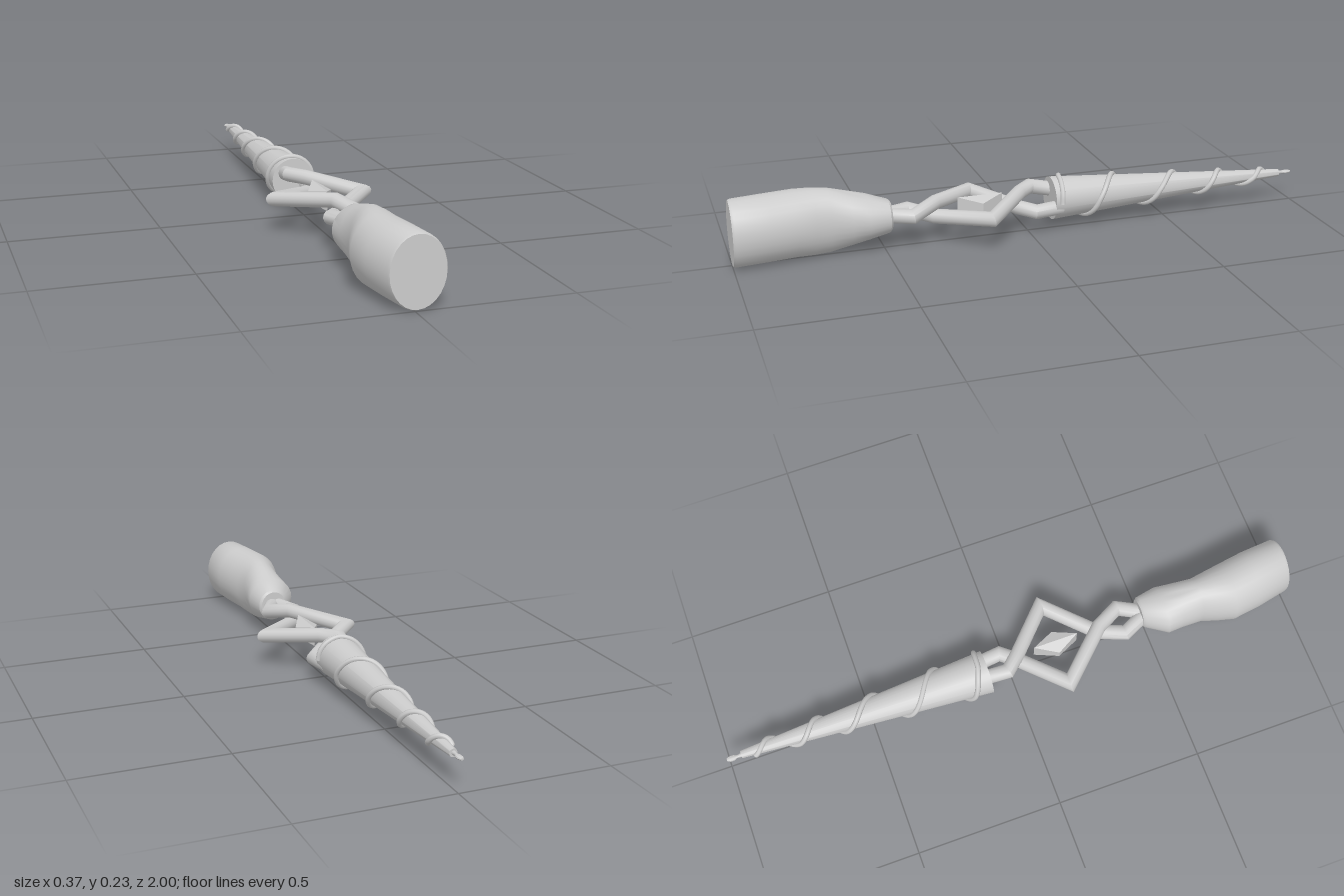
import * as THREE from 'three';
import { toCreasedNormals } from 'three/addons/utils/BufferGeometryUtils.js';
import { ConvexGeometry } from 'three/addons/geometries/ConvexGeometry.js';

const V = (x, y, z) => new THREE.Vector3(x, y, z);
const material = new THREE.MeshStandardMaterial({ color: 0xcccccc });
const CY = 0.114; // height of the long axis

// Closed skin over rings of points, counterclockwise about the direction of travel
function skin(rings, crease = 0.6) {
  const n = rings[0].length, last = rings.length - 1;
  const points = rings.flat();
  const index = [];
  for (let i = 0; i < last; i++) {
    for (let j = 0; j < n; j++) {
      const a = i * n + j, b = i * n + (j + 1) % n;
      index.push(a, b, b + n, a, b + n, a + n);
    }
  }
  // End caps
  for (const i of [0, last]) {
    const centre = rings[i].reduce((s, p) => s.add(p), V(0, 0, 0)).divideScalar(n);
    const c = points.push(centre) - 1;
    for (let j = 0; j < n; j++) {
      const a = i * n + j, b = i * n + (j + 1) % n;
      index.push(c, ...(i === 0 ? [b, a] : [a, b]));
    }
  }
  const geometry = new THREE.BufferGeometry().setFromPoints(points);
  geometry.setIndex(index);
  return toCreasedNormals(geometry, crease);
}

// Ellipses stacked along z: [z, centre x, centre y, radius x, radius y]
function loft(sections, sides) {
  return skin(sections.map(([z, cx, cy, rx, ry]) =>
    Array.from({ length: sides }, (_, j) => {
      const a = j / sides * Math.PI * 2;
      return V(cx + rx * Math.cos(a), cy + ry * Math.sin(a), z);
    })));
}

// Round bar along straight segments, mitred at each corner
function mitredBar(path, radius, sides) {
  const dirs = path.slice(1).map((p, i) => p.clone().sub(path[i]).normalize());
  const u = V(0, 1, 0).cross(dirs[0]).normalize();
  const v = dirs[0].clone().cross(u);
  let ring = Array.from({ length: sides }, (_, j) => {
    const a = j / sides * Math.PI * 2;
    return path[0].clone().addScaledVector(u, radius * Math.cos(a)).addScaledVector(v, radius * Math.sin(a));
  });
  const rings = [ring];
  dirs.forEach((d, i) => {
    const corner = path[i + 1];
    const normal = d.clone().add(dirs[i + 1] ?? d).normalize();
    ring = ring.map(p => p.clone().addScaledVector(d, corner.clone().sub(p).dot(normal) / d.dot(normal)));
    rings.push(ring);
  });
  return skin(rings, 0.7);
}

export function createModel() {
  const group = new THREE.Group();
  const add = (name, geometry) => {
    const mesh = new THREE.Mesh(geometry, material);
    mesh.name = name;
    group.add(mesh);
    return mesh;
  };

  // Curved grip
  add('handle', loft([
    [0.478, 0.008, CY, 0.046, 0.050],
    [0.485, 0.008, CY, 0.054, 0.057],
    [0.555, -0.008, CY, 0.083, 0.077],
    [0.61, -0.01, CY, 0.076, 0.092],
    [0.68, -0.014, CY, 0.070, 0.110],
    [0.73, -0.018, CY, 0.083, 0.114],
    [0.79, -0.021, CY, 0.097, 0.114],
    [0.88, -0.008, CY, 0.098, 0.114],
    [0.992, 0.008, CY, 0.090, 0.114],
    [1.0, 0.008, CY, 0.086, 0.110],
  ], 28));

  // Two interwoven bars, each passing over the other once
  add('rightBar', mitredBar([
    V(0.005, 0.114, 0.50), V(0.05, 0.117, 0.41), V(0, 0.139, 0.325),
    V(-0.148, CY, 0.167), V(0, 0.086, 0.03), V(0.044, 0.08, -0.02), V(0.033, 0.084, -0.11),
  ], 0.025, 14));
  add('leftBar', mitredBar([
    V(0, 0.114, 0.50), V(-0.042, 0.11, 0.41), V(0, 0.09, 0.325),
    V(0.148, CY, 0.167), V(0, 0.14, 0.03), V(-0.046, 0.142, -0.02), V(-0.036, 0.125, -0.11),
  ], 0.025, 14));

  // Faceted stone held between the bars
  const corners = [];
  for (const s of [-1, 1]) {
    for (const t of [-1, 1]) {
      corners.push(V(0, CY + s * 0.033, 0.168 + t * 0.078));
      corners.push(V(t * 0.04, CY + s * 0.016, 0.168));
    }
  }
  add('stone', ConvexGeometry ? new ConvexGeometry(corners) : null);

  // Tapered shaft
  const tip = { z: -0.95, x: -0.006, y: 0.103, r: 0.013 };
  const base = { z: -0.085, x: -0.011, y: 0.104, r: 0.074 };
  const shaftAt = z => {
    const t = (z - base.z) / (tip.z - base.z);
    return ['x', 'y', 'r'].map(k => THREE.MathUtils.lerp(base[k], tip[k], t));
  };
  add('shaft', loft([tip, base].map(s => [s.z, s.x, s.y, s.r, s.r]), 28));

  // Narrow neck and bead at the end
  add('tip', loft([
    [-1.0, -0.008, 0.103, 0.005, 0.003],
    [-0.99, -0.008, 0.103, 0.010, 0.006],
    [-0.975, -0.008, 0.103, 0.010, 0.006],
    [-0.965, -0.008, 0.103, 0.005, 0.005],
    [-0.945, -0.007, 0.103, 0.008, 0.008],
  ], 10));

  // Wire wound around the shaft; z is given for every quarter turn
  const quarterZ = [-0.105, -0.115, -0.15, -0.2, -0.245, -0.305, -0.365, -0.42, -0.47, -0.53,
    -0.585, -0.63, -0.67, -0.71, -0.75, -0.8, -0.845, -0.875, -0.905];
  const wire = [];
  for (let k = 0; k <= (quarterZ.length - 1) * 4; k++) {
    const i = Math.floor(k / 4);
    const z = THREE.MathUtils.lerp(quarterZ[i], quarterZ[i + 1] ?? quarterZ[i], (k % 4) / 4);
    const [x, y, r] = shaftAt(z);
    const a = k / 4 * Math.PI / 2;
    wire.push(V(x + (r + 0.003) * Math.cos(a), y + (r + 0.003) * Math.sin(a), z));
  }
  const coil = new THREE.TubeGeometry(new THREE.CatmullRomCurve3(wire), 160, 0.009, 8);
  add('spiralWire', coil).material = new THREE.MeshStandardMaterial({ color: 0xcccccc, side: THREE.DoubleSide });

  return group;
}
